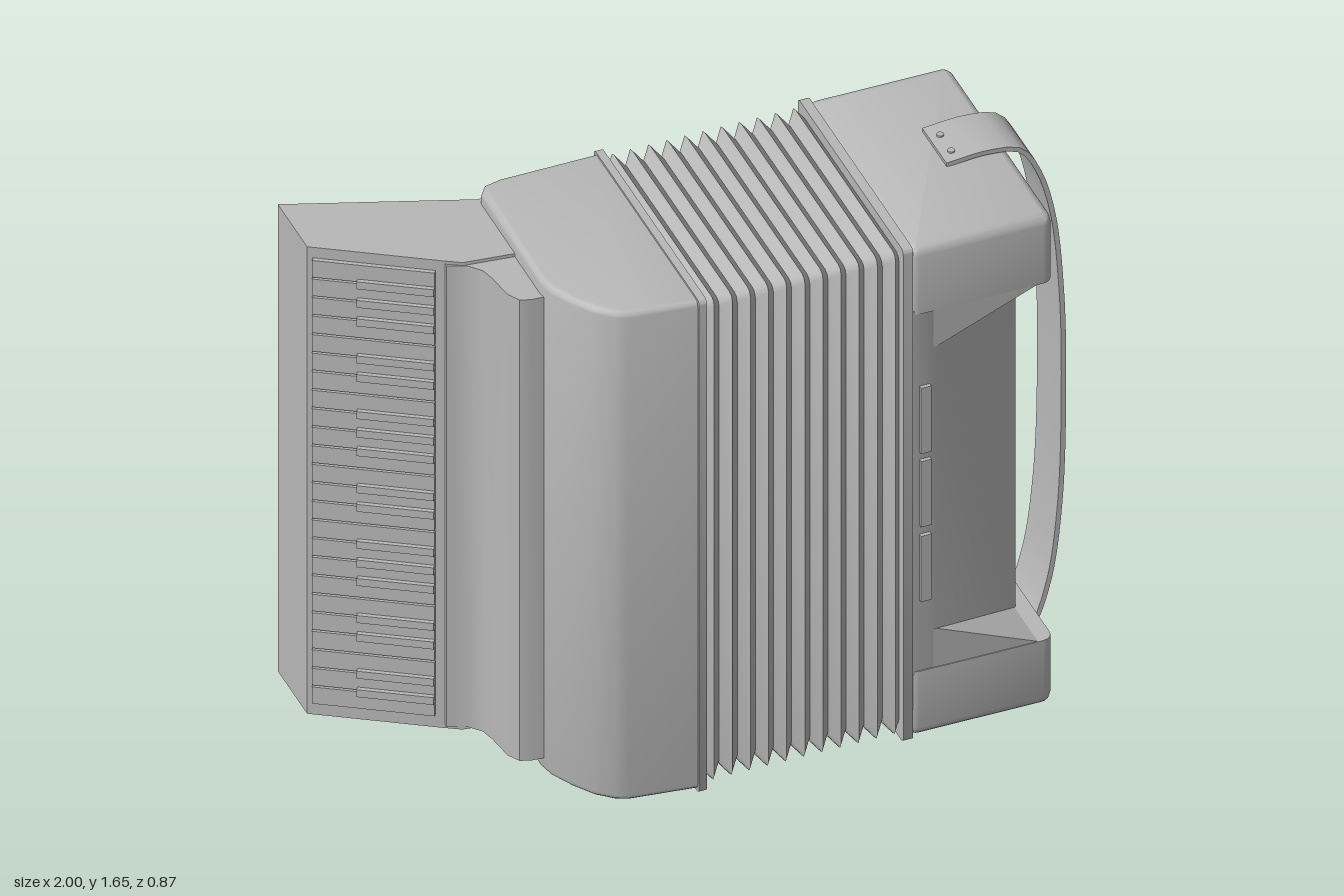
import * as THREE from 'three';
import { toCreasedNormals } from 'three/addons/utils/BufferGeometryUtils.js';

const grey = new THREE.MeshStandardMaterial({ color: 0xb8b8b8 });
grey.name = 'plain grey';

function add(parent, name, geometry, x = 0, y = 0, z = 0) {
  const mesh = new THREE.Mesh(geometry, grey);
  mesh.name = name;
  mesh.position.set(x, y, z);
  parent.add(mesh);
  return mesh;
}

const box = (w, h, d) => new THREE.BoxGeometry(w, h, d);

// Upright prism from an [x, z] outline, optionally with rounded ends
function prism(points, y0, y1, bevel = 0) {
  const shape = new THREE.Shape(points.map(([x, z]) => new THREE.Vector2(x, -z)));
  const geo = new THREE.ExtrudeGeometry(shape, {
    depth: y1 - y0 - 2 * bevel, bevelEnabled: bevel > 0, bevelSize: bevel,
    bevelThickness: bevel, bevelOffset: -bevel, bevelSegments: 3,
  });
  geo.rotateX(-Math.PI / 2).translate(0, y0 + bevel, 0);
  return toCreasedNormals(geo, 0.6);
}

// Counter-clockwise rounded rectangle
function roundRect(cx, cy, hw, hh, r, inset = 0, steps = 4) {
  const points = [];
  const corners = [[1, 1], [-1, 1], [-1, -1], [1, -1]];
  const rad = Math.max(r - inset, 0.004);
  corners.forEach(([sx, sy], k) => {
    for (let i = 0; i <= steps; i++) {
      const a = (k + i / steps) * Math.PI / 2;
      points.push([cx + sx * (hw - inset - rad) + rad * Math.cos(a),
        cy + sy * (hh - inset - rad) + rad * Math.sin(a)]);
    }
  });
  return points;
}

// Skin over rings stacked along z, closed at both ends
function loft(rings, crease = 0.6) {
  const pos = [], index = [], n = rings[0].points.length;
  for (const { points, at } of rings) for (const [x, y] of points) pos.push(x, y, at);
  for (let i = 0; i < rings.length - 1; i++) {
    for (let j = 0; j < n; j++) {
      const a = i * n + j, b = i * n + (j + 1) % n;
      index.push(a, b, b + n, a, b + n, a + n);
    }
  }
  const last = (rings.length - 1) * n;
  for (let j = 1; j < n - 1; j++) {
    index.push(0, j + 1, j, last, last + j, last + j + 1);
  }
  const geo = new THREE.BufferGeometry();
  geo.setAttribute('position', new THREE.Float32BufferAttribute(pos, 3));
  geo.setIndex(index);
  return { geo, finish: () => toCreasedNormals(geo, crease) };
}

function alongX(rings, crease) {
  const { geo, finish } = loft(rings, crease);
  geo.rotateY(Math.PI / 2);
  return finish();
}

function alongY(rings, crease) {
  const { geo, finish } = loft(rings, crease);
  geo.rotateX(-Math.PI / 2);
  return finish();
}

function makeKeyboard() {
  const group = new THREE.Group();
  group.name = 'keyboard';
  add(group, 'keyboardBody', prism([[-1, -0.44], [-0.51, -0.26], [-0.47, -0.26],
    [-0.47, 0], [-0.65, -0.02], [-0.7, -0.05], [-1, -0.24]], 0.07, 1.6));
  // Rounded ledge between the keys and the body
  add(group, 'keyboardLedge', prism([[-0.69, -0.06], [-0.69, -0.035], [-0.64, -0.015],
    [-0.61, 0.02], [-0.6, 0.06], [-0.59, 0.14], [-0.57, 0.175], [-0.54, 0.185],
    [-0.47, 0.19], [-0.47, -0.06]], 0.08, 1.59));

  // Keys lie on the sloping face
  const keys = new THREE.Group();
  keys.name = 'keys';
  keys.position.set(-1, 0, -0.24);
  keys.rotation.y = -Math.atan2(0.19, 0.3);
  const pitch = 1.458 / 24, bottom = 0.111;
  const gaps = [3, 6, 10, 13, 17, 20];
  for (let i = 0; i < 24; i++) {
    add(keys, 'whiteKey', box(0.326, pitch - 0.006, 0.02), 0.178, bottom + (i + 0.5) * pitch, 0.002);
    if (i > 0 && !gaps.includes(i)) {
      add(keys, 'blackKey', box(0.205, 0.024, 0.03), 0.238, bottom + i * pitch, 0.009);
    }
  }
  group.add(keys);
  return group;
}

function makeBassCase() {
  const group = new THREE.Group();
  group.name = 'bassCase';
  // Recessed middle with sloping front and back panels
  add(group, 'recessedPanel', prism([[0.42, -0.287], [0.52, -0.287], [0.52, -0.27],
    [0.8, -0.19], [0.8, 0.26], [0.51, 0.422], [0.42, 0.422]], 0.24, 1.43));

  // Full-width ends, rounded on the outside
  const ring = (inset, at) => ({ points: roundRect(0.635, -0.0675, 0.205, 0.3575, 0.03, inset), at });
  const curve = [[0, 0.03], [0.004, 0.015], [0.011, 0.007], [0.026, 0]];
  add(group, 'topEnd', alongY([ring(0, 1.42), ...curve.map(([i, d]) => ring(i, 1.637 - d))]));
  add(group, 'bottomEnd', alongY([...curve.map(([i, d]) => ring(i, 0.035 + d)).reverse(), ring(0, 0.25)]));

  // Slanted shoulders at the front of the recess
  for (const [y0, y1, name] of [[1.3, 1.422, 'topShoulder'], [0.375, 0.248, 'bottomShoulder']]) {
    const shape = new THREE.Shape([new THREE.Vector2(0.5, y0), new THREE.Vector2(0.51, y0),
      new THREE.Vector2(0.8, y1), new THREE.Vector2(0.5, y1)]);
    add(group, name, new THREE.ExtrudeGeometry(shape, { depth: 0.323, bevelEnabled: false }), 0, 0, 0.1);
  }
  // Register switches
  for (const y of [1.075, 0.835, 0.59]) {
    add(group, 'registerSwitch', box(0.03, 0.215, 0.02), 0.475, y, 0.423);
  }
  return group;
}

function makeStrap() {
  const group = new THREE.Group();
  group.name = 'handStrap';
  const path = new THREE.CatmullRomCurve3([[0.66, 1.642], [0.78, 1.65], [0.87, 1.63], [0.92, 1.55],
    [0.96, 1.4], [0.983, 1.15], [0.988, 0.85], [0.975, 0.45], [0.94, 0.2], [0.89, 0.07],
    [0.82, 0.015], [0.75, 0.016], [0.66, 0.028]].map(([x, y]) => new THREE.Vector3(x, y, 0)));
  const outer = [], inner = [];
  for (let i = 0; i <= 60; i++) {
    const p = path.getPointAt(i / 60), t = path.getTangentAt(i / 60);
    outer.push(new THREE.Vector2(p.x - t.y * 0.007, p.y + t.x * 0.007));
    inner.unshift(new THREE.Vector2(p.x + t.y * 0.007, p.y - t.x * 0.007));
  }
  const geo = new THREE.ExtrudeGeometry(new THREE.Shape([...outer, ...inner]),
    { depth: 0.165, bevelEnabled: false });
  // Band leans slightly forward towards the bottom
  const pos = geo.attributes.position;
  for (let i = 0; i < pos.count; i++) {
    pos.setZ(i, pos.getZ(i) - 0.03 + (0.83 - pos.getY(i)) * 0.012);
  }
  add(group, 'strapBand', toCreasedNormals(geo, 0.6));
  for (const y of [1.65, 0.02]) {
    for (const z of [0.01, 0.085]) {
      add(group, 'rivet', new THREE.CylinderGeometry(0.01, 0.01, 0.012, 12), 0.69, y, z);
    }
  }
  return group;
}

export function createModel() {
  const model = new THREE.Group();
  model.name = 'accordion';
  model.add(makeKeyboard());

  // Treble case with a curved front corner
  add(model, 'trebleCase', prism([[-0.15, -0.285], [-0.44, -0.282], [-0.485, -0.272], [-0.508, -0.24],
    [-0.51, 0.17], [-0.5, 0.22], [-0.47, 0.28], [-0.43, 0.34], [-0.385, 0.38], [-0.35, 0.395],
    [-0.15, 0.42]], 0.037, 1.637, 0.018));

  // Pleated bellows
  const rings = [], pleats = 11, x0 = -0.145, x1 = 0.42;
  for (let i = 0; i <= pleats * 2; i++) {
    const inset = i % 2 ? 0 : 0.028;
    rings.push({
      points: roundRect(-0.065, 0.838, 0.352 - inset, 0.79 - inset, 0.02, 0, 2),
      at: x0 + (x1 - x0) * i / (pleats * 2),
    });
  }
  add(model, 'bellows', alongX(rings, 0.5));

  // Frames joining the bellows to the cases
  for (const [a, b] of [[-0.166, -0.144], [0.412, 0.44]]) {
    const points = roundRect(-0.0675, 0.837, 0.36, 0.806, 0.015);
    add(model, 'bellowsFrame', alongX([{ points, at: a }, { points, at: b }]));
  }

  model.add(makeBassCase(), makeStrap());
  return model;
}
